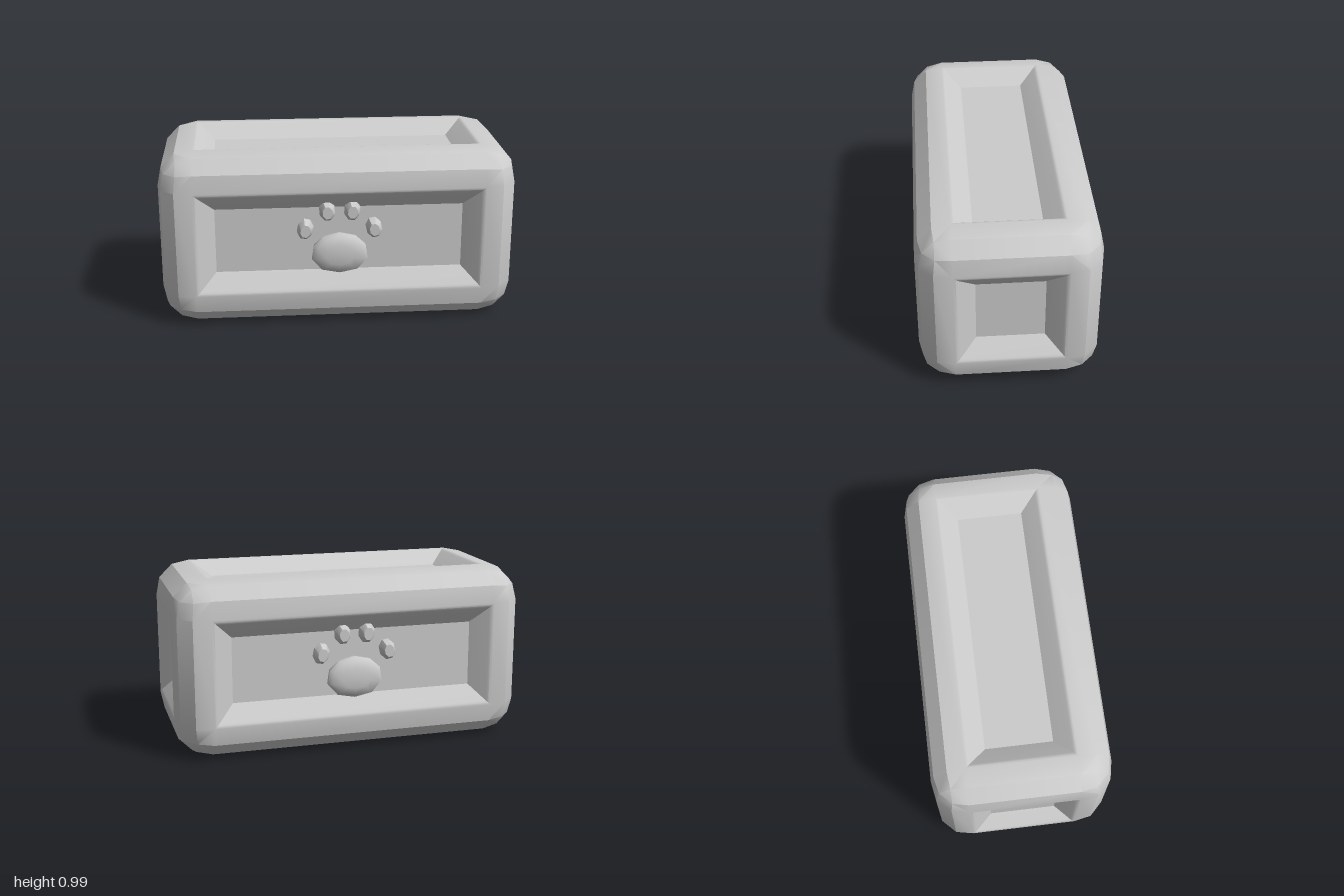
import * as THREE from 'three';
import { toCreasedNormals } from 'three/addons/utils/BufferGeometryUtils.js';

const stone = new THREE.MeshStandardMaterial({ color: 0xcccccc });
stone.name = 'light grey';

const HALF = [1, 0.495, 0.495];
const RIM = 0.195;
// sunken panel from its rim inwards: [inset, depth]
const RINGS = [[RIM, 0], [0.208, 0.003], [0.22, 0.011], [0.31, 0.082]];
// cross-section of a rounded edge: insets from the two faces it joins
const EDGE = [[0, RIM], [0.02, 0.095], [0.095, 0.02], [RIM, 0]];
const SIGNS = [[-1, -1], [1, -1], [1, 1], [-1, 1]];

// Rounded box with a sunken panel on all six faces
function panelBox() {
  const pos = [];
  const vec = new THREE.Vector3(), e1 = new THREE.Vector3(), e2 = new THREE.Vector3();
  // convex polygon turned to face along the given direction
  const poly = (points, outward) => {
    const p = points.map((q) => vec.clone().fromArray(q));
    e1.subVectors(p[1], p[0]);
    e2.subVectors(p[2], p[0]);
    if (e1.cross(e2).dot(vec.fromArray(outward)) < 0) p.reverse();
    for (let i = 1; i + 1 < p.length; i++) for (const q of [p[0], p[i], p[i + 1]]) pos.push(q.x, q.y, q.z);
  };
  // point near a box corner, set in from the faces on axes a, b and c
  const at = (a, b, c, sa, sb, sc, ia, ib, ic) => {
    const q = [0, 0, 0];
    q[a] = sa * (HALF[a] - ia);
    q[b] = sb * (HALF[b] - ib);
    q[c] = sc * (HALF[c] - ic);
    return q;
  };
  for (let a = 0; a < 3; a++) {
    const b = (a + 1) % 3, c = (a + 2) % 3;
    // panels
    for (const s of [-1, 1]) {
      const outward = [0, 0, 0];
      outward[a] = s;
      const ring = ([inset, depth]) => SIGNS.map(([sb, sc]) => at(a, b, c, s, sb, sc, depth, inset, inset));
      const rings = RINGS.map(ring);
      for (let r = 1; r < rings.length; r++) for (let k = 0; k < 4; k++) {
        const m = (k + 1) % 4;
        poly([rings[r - 1][k], rings[r - 1][m], rings[r][m], rings[r][k]], outward);
      }
      poly(rings[rings.length - 1], outward);
    }
    // rounded edges along axis a
    for (const [sb, sc] of SIGNS) {
      const outward = [0, 0, 0];
      outward[b] = sb;
      outward[c] = sc;
      const end = (sa, i) => at(a, b, c, sa, sb, sc, RIM, ...EDGE[i]);
      for (let i = 0; i < 3; i++) poly([end(-1, i), end(1, i), end(1, i + 1), end(-1, i + 1)], outward);
    }
  }
  // rounded corners
  for (const x of [-1, 1]) for (const [y, z] of SIGNS) {
    const sign = [x, y, z], tips = [];
    for (let a = 0; a < 3; a++) {
      const b = (a + 1) % 3, c = (a + 2) % 3;
      const p = (ia, ib, ic) => at(a, b, c, sign[a], sign[b], sign[c], ia, ib, ic);
      const tip = p(0.04, 0.105, 0.105);
      tips.push(tip);
      poly([p(0, RIM, RIM), p(0.02, 0.095, RIM), tip, p(0.02, RIM, 0.095)], sign);
      poly([p(0.02, 0.095, RIM), p(0.095, 0.02, RIM), p(0.105, 0.04, 0.105), tip], sign);
    }
    poly(tips, sign);
  }
  const g = new THREE.BufferGeometry();
  g.setAttribute('position', new THREE.Float32BufferAttribute(pos, 3));
  return toCreasedNormals(g, 0.56);
}

// Raised lump: an outline stacked at [scale, height] levels and closed on top
function lump(outline, levels, crease) {
  const pos = [], idx = [], n = outline.length;
  levels.forEach(([s, h], r) => {
    outline.forEach(([x, y], k) => {
      pos.push(x * s, y * s, h);
      const m = (k + 1) % n, a = (r - 1) * n, b = r * n;
      if (r > 0) idx.push(a + k, a + m, b + m, a + k, b + m, b + k);
    });
  });
  const top = (levels.length - 1) * n;
  pos.push(0, 0, levels[levels.length - 1][1]);
  for (let k = 0; k < n; k++) idx.push(top + k, top + (k + 1) % n, pos.length / 3 - 1);
  const g = new THREE.BufferGeometry();
  g.setAttribute('position', new THREE.Float32BufferAttribute(pos, 3));
  g.setIndex(idx);
  return toCreasedNormals(g, crease);
}

const add = (group, name, geometry) => {
  const mesh = new THREE.Mesh(geometry, stone);
  mesh.name = name;
  group.add(mesh);
  return mesh;
};

// Paw relief: one broad pad and four toes
function pawRelief() {
  const paw = new THREE.Group();
  const right = [[0, -0.115], [0.1, -0.095], [0.157, -0.03], [0.145, 0.05], [0.09, 0.1]];
  const left = right.slice(1).reverse().map(([x, y]) => [-x, y]);
  const padOutline = [...right, [0, 0.12], ...left];
  add(paw, 'pawPad', lump(padOutline, [[0.98, -0.01], [1, 0.025], [0.85, 0.045], [0.5, 0.058]], 0.75))
    .position.set(0, 0.41, 0);
  const toeOutline = Array.from({ length: 8 }, (_, k) => {
    const t = (k + 0.5) * Math.PI / 4;
    return [0.046 * Math.cos(t), 0.06 * Math.sin(t)];
  });
  const toe = lump(toeOutline, [[1, -0.01], [1, 0.02], [0.62, 0.058]], 0.6);
  for (const s of [-1, 1]) {
    for (const [x, y, tilt] of [[0.07, 0.662, 0.08], [0.192, 0.557, -0.2]]) {
      const m = add(paw, 'pawToe', toe);
      m.position.set(s * x, y, 0);
      m.rotation.z = -s * tilt;
    }
  }
  return paw;
}

export function createModel() {
  const model = new THREE.Group();
  model.name = 'panelledBlock';
  add(model, 'block', panelBox()).position.y = HALF[1];
  // a paw on the front and back panels
  for (const s of [1, -1]) {
    const paw = pawRelief();
    paw.name = s > 0 ? 'frontPaw' : 'backPaw';
    paw.position.z = s * (HALF[2] - 0.082);
    if (s < 0) paw.rotation.y = Math.PI;
    model.add(paw);
  }
  return model;
}
